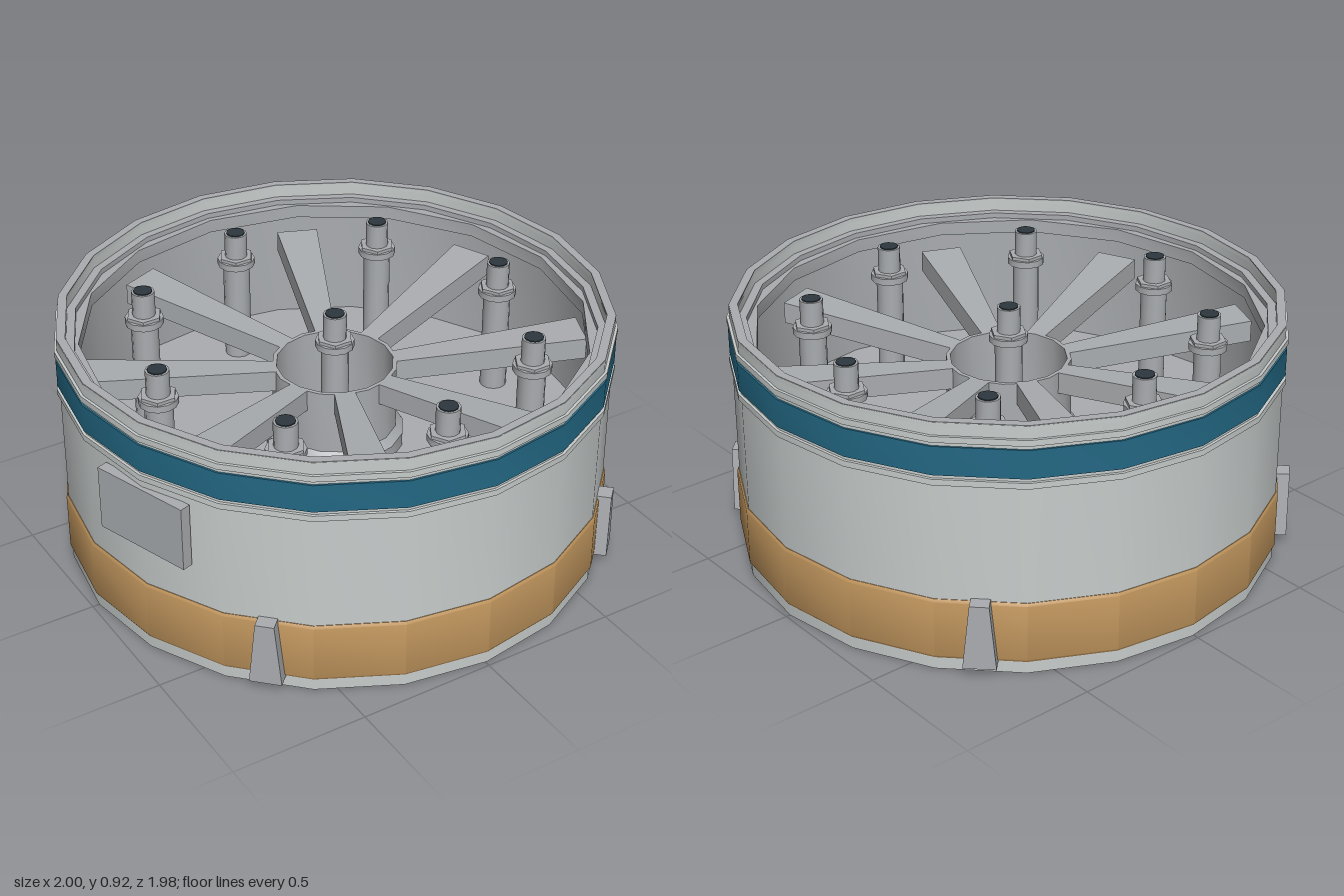
import * as THREE from 'three';
import { toCreasedNormals } from 'three/addons/utils/BufferGeometryUtils.js';

const paint = (name, color) => Object.assign(new THREE.MeshStandardMaterial({ color }), { name });

export function createModel() {
  const shellGrey = paint('shell grey', 0xc8cdcc);
  const metal = paint('metal grey', 0xaaadb0);
  const teal = paint('teal', 0x236884);
  const tan = paint('tan', 0xc0955d);
  const dark = paint('dark cap', 0x2c373e);

  const model = new THREE.Group();
  model.name = 'drum';
  const body = new THREE.Group();
  body.name = 'drumBody';
  body.position.x = 0.005;
  model.add(body);

  const add = (name, geometry, material, parent = body) => {
    const mesh = new THREE.Mesh(geometry, material);
    mesh.name = name;
    parent.add(mesh);
    return mesh;
  };

  // Closed ring turned from a counter-clockwise [radius, height] profile
  const ring = (name, profile, material, sides = 20) => {
    const points = [...profile, profile[0]].map(([r, y]) => new THREE.Vector2(r, y));
    return add(name, toCreasedNormals(new THREE.LatheGeometry(points, sides), 0.55), material);
  };
  const hoop = (inner, outer, y0, y1) => [[inner, y0], [outer, y0], [outer, y1], [inner, y1]];

  // Capped round part standing between two heights
  const disc = (name, radius, y0, y1, material, sides, parent = body) => {
    const mesh = add(name, toCreasedNormals(
      new THREE.CylinderGeometry(radius, radius, y1 - y0, sides), 0.6), material, parent);
    mesh.position.y = (y0 + y1) / 2;
    return mesh;
  };

  // Outer wall with a recessed ledge near the foot
  ring('shell', [[0.955, 0], [0.98, 0], [0.98, 0.905], [0.95, 0.905], [0.95, 0.34],
    [0.93, 0.34], [0.93, 0.13], [0.955, 0.13]], shellGrey);
  ring('shellTop', hoop(0.95, 0.98, 0.905, 0.92), shellGrey);
  ring('rimCap', hoop(0.948, 0.979, 0.918, 0.922), metal);
  ring('rimLedge', hoop(0.92, 0.955, 0.84, 0.87), metal);
  ring('innerFlange', hoop(0.9, 0.965, 0.8, 0.85), metal, 16);
  ring('innerLiner', hoop(0.94, 0.952, 0.37, 0.8), metal);

  // Coloured bands and the thin hoops beside them
  ring('tealBand', hoop(0.97, 0.987, 0.735, 0.838), teal);
  ring('tanBand', [[0.97, 0.045], [0.982, 0.045], [0.988, 0.055], [0.988, 0.262],
    [0.982, 0.272], [0.97, 0.272]], tan);
  ring('upperHoop', hoop(0.97, 0.99, 0.853, 0.875), shellGrey);
  ring('lowerHoop', hoop(0.97, 0.99, 0.7, 0.722), shellGrey);

  // Floor plate: metal above, tan below
  disc('floorTop', 0.945, 0.35, 0.37, metal, 20);
  disc('floorUnderside', 0.935, 0.335, 0.35, tan, 20);

  // Hub tube
  ring('hub', [[0.21, 0.36], [0.25, 0.36], [0.25, 0.42], [0.225, 0.45], [0.225, 0.69], [0.21, 0.69]],
    metal, 16);

  // Posts with collars above and round feet below the floor
  const post = (x, z) => {
    const group = new THREE.Group();
    group.name = 'post';
    group.position.set(x, 0, z);
    body.add(group);
    disc('foot', 0.17, 0.312, 0.345, metal, 14, group);
    disc('postSleeve', 0.05, 0.36, 0.76, metal, 12, group);
    disc('postCollar', 0.07, 0.755, 0.78, metal, 12, group);
    const nut = disc('postNut', 0.066, 0.78, 0.792, metal, 6, group);
    nut.rotation.y = Math.PI / 6;
    disc('postRod', 0.042, 0.76, 0.885, metal, 12, group);
    disc('postCap', 0.034, 0.883, 0.889, dark, 12, group);
  };
  post(0, 0);

  // Spokes widen and rise slightly from the hub to the wall
  const spokeGeometry = new THREE.BoxGeometry(1, 1, 1);
  const p = spokeGeometry.attributes.position;
  for (let i = 0; i < p.count; i++) {
    const outer = p.getX(i) > 0;
    const top = p.getY(i) > 0;
    p.setXYZ(i, outer ? 0.9 : 0.215,
      (outer ? 0.74 : 0.69) - (top ? 0 : 0.08),
      Math.sign(p.getZ(i)) * (outer ? 0.078 : 0.037));
  }
  spokeGeometry.computeVertexNormals();

  for (let i = 0; i < 8; i++) {
    const a = (i * Math.PI) / 4;
    post(0.705 * Math.cos(a), 0.705 * Math.sin(a));
    add('spoke', spokeGeometry, metal).rotation.y = a + Math.PI / 8;
  }

  // Tapered lugs on the tan band
  const lugShape = new THREE.Shape([[-0.057, 0.04], [0.057, 0.04], [0.033, 0.28], [-0.033, 0.28]]
    .map(([x, y]) => new THREE.Vector2(x, y)));
  const lugGeometry = new THREE.ExtrudeGeometry(lugShape, { depth: 0.065, bevelEnabled: false });
  lugGeometry.translate(0, 0, 0.955);
  for (let i = 0; i < 4; i++) {
    add('lug', lugGeometry, metal).rotation.y = Math.PI / 4 + (i * Math.PI) / 2;
  }

  // Side plate set against the wall
  const plateGeometry = new THREE.BoxGeometry(0.38, 0.24, 0.04);
  plateGeometry.translate(0, 0.55, 0.975);
  add('sidePlate', plateGeometry, metal).rotation.y = -Math.PI * 0.4;

  return model;
}
